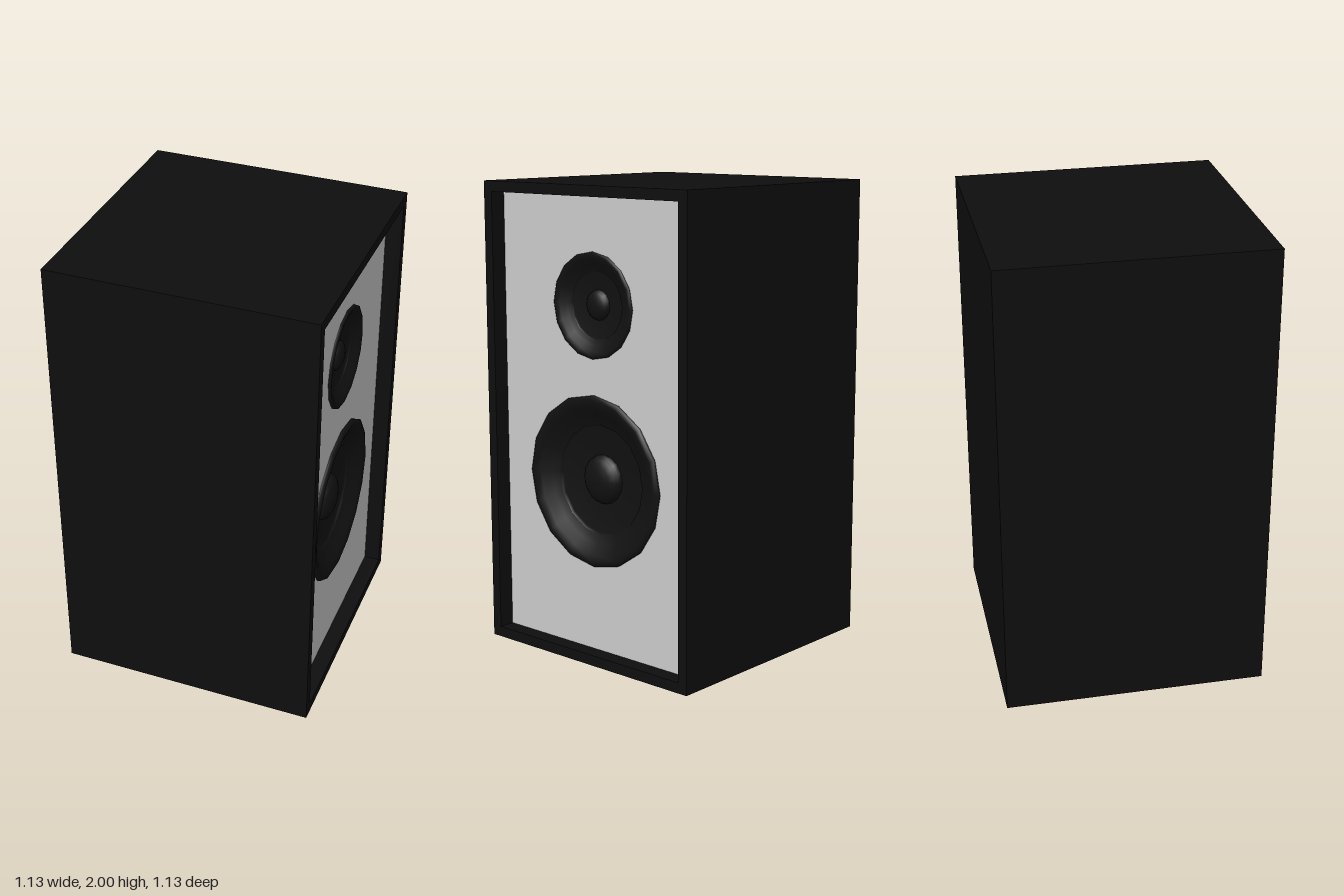
import * as THREE from 'three';

const HALF = 0.565, HEIGHT = 2, WALL = 0.045, RECESS = 0.07;
const BAFFLE_X = HALF - RECESS, BODY_FRONT = 0.4, SIDES = 16;

const mat = (name, color) => {
  const m = new THREE.MeshStandardMaterial({ color });
  m.name = name;
  return m;
};

// Rectangle centred on the cabinet face, shrunk by an inset
function faceRect(Type, inset) {
  const w = HALF - inset, p = new Type();
  p.moveTo(-w, inset);
  p.lineTo(w, inset);
  p.lineTo(w, HEIGHT - inset);
  p.lineTo(-w, HEIGHT - inset);
  p.closePath();
  return p;
}

// Sixteen-sided opening behind a driver
function driverHole(y, r) {
  const points = [];
  for (let i = 0; i < SIDES; i++) {
    const a = -i / SIDES * Math.PI * 2;
    points.push(new THREE.Vector2(r * Math.cos(a), y + r * Math.sin(a)));
  }
  return new THREE.Path(points);
}

export function createModel() {
  const black = mat('cabinet black', 0x0e0e0e);
  const rubber = mat('driver black', 0x111111);
  const grey = mat('baffle light grey', 0xcccccc);
  const model = new THREE.Group();
  model.name = 'loudspeaker';
  const add = (name, geometry, material, parent = model) => {
    const mesh = new THREE.Mesh(geometry, material);
    mesh.name = name;
    parent.add(mesh);
    return mesh;
  };
  const drivers = [
    { name: 'tweeter', y: 1.51, r: 0.22 },
    { name: 'woofer', y: 0.775, r: 0.365 },
  ];

  // Cabinet body and the raised frame around its speaker face (+x)
  const body = new THREE.BoxGeometry(HALF + BODY_FRONT, HEIGHT, HALF * 2);
  add('cabinetBody', body, black).position.set((BODY_FRONT - HALF) / 2, HEIGHT / 2, 0);
  const frameShape = faceRect(THREE.Shape, 0);
  frameShape.holes.push(faceRect(THREE.Path, WALL));
  const frame = new THREE.ExtrudeGeometry(frameShape, { depth: HALF - BODY_FRONT, bevelEnabled: false });
  frame.rotateY(Math.PI / 2);
  add('cabinetFrame', frame, black).position.x = BODY_FRONT;

  // Recessed baffle with driver openings
  const baffleShape = faceRect(THREE.Shape, WALL);
  drivers.forEach(d => baffleShape.holes.push(driverHole(d.y, d.r * 0.96)));
  const baffle = new THREE.ShapeGeometry(baffleShape);
  baffle.rotateY(Math.PI / 2);
  add('baffle', baffle, grey).position.x = BAFFLE_X;

  // Each driver: rim and dished surround, cone, centre dome
  const lathe = (profile, r) => {
    const points = profile.map(([x, y]) => new THREE.Vector2(x * r, y * r));
    return new THREE.LatheGeometry(points, SIDES).rotateZ(-Math.PI / 2);
  };
  for (const { name, y, r } of drivers) {
    const group = new THREE.Group();
    group.name = name;
    group.position.set(BAFFLE_X, y, 0);
    model.add(group);
    add('surround', lathe([[1, -0.01], [1, 0.03], [0.95, 0.05], [0.86, 0.02], [0.75, -0.05], [0.65, -0.09]], r), rubber, group);
    add('cone', lathe([[0.65, -0.09], [0.63, -0.12], [0.29, -0.15]], r), rubber, group);
    const dome = [];
    for (let i = 0; i <= 5; i++) {
      const a = i / 5 * Math.PI / 2;
      dome.push([0.29 * Math.cos(a), -0.15 + 0.13 * Math.sin(a)]);
    }
    add('dome', lathe(dome, r), rubber, group);
  }
  return model;
}
